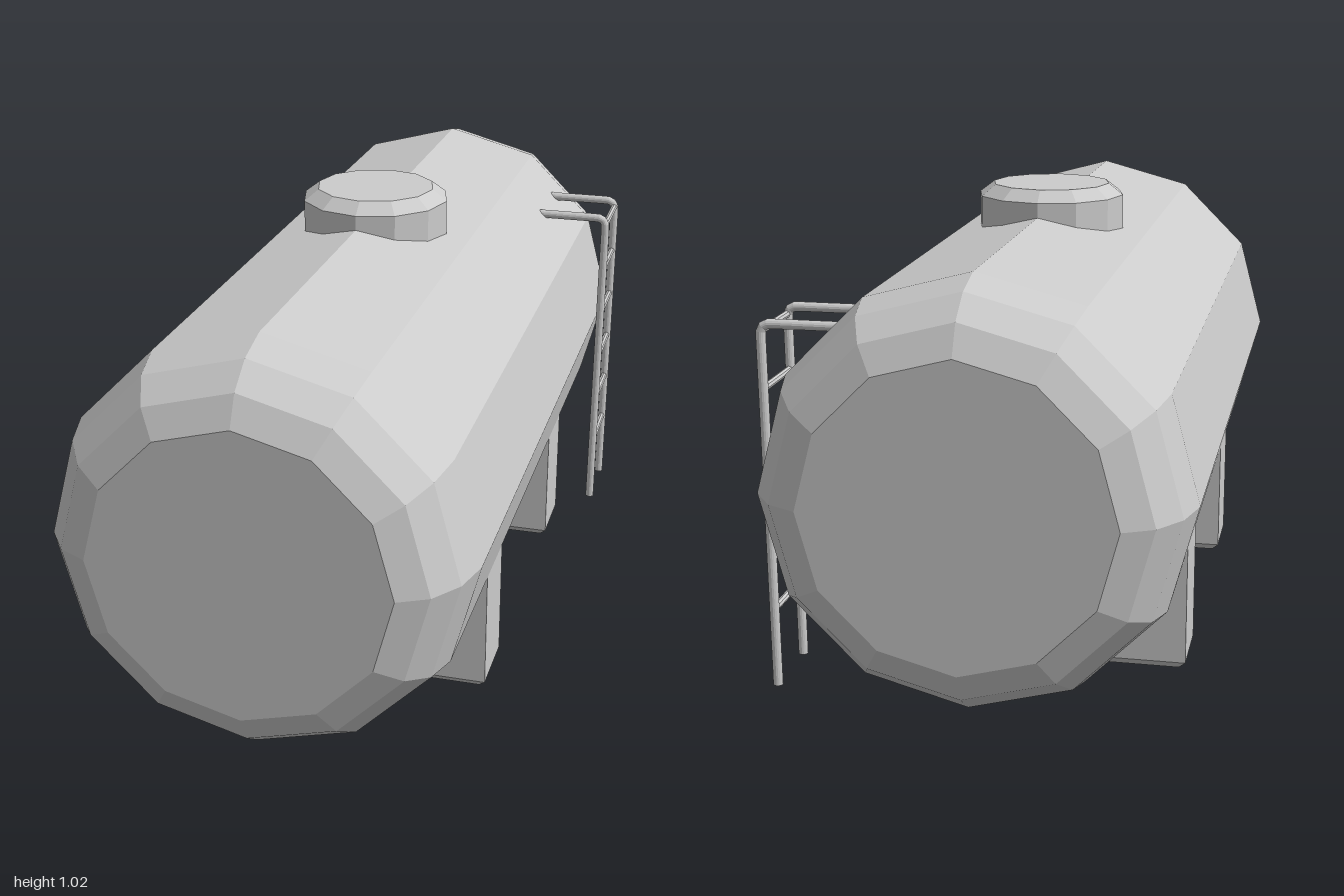
import * as THREE from 'three';

const CX = -0.018; // centre line of the tank

export function createModel() {
  const model = new THREE.Group();
  model.name = 'storageTank';
  const grey = new THREE.MeshStandardMaterial({ color: 0xcccccc, flatShading: true });
  const barGrey = new THREE.MeshStandardMaterial({ color: 0xcccccc, flatShading: true, side: THREE.DoubleSide });

  const add = (name, geometry, parent = model, material = grey) => {
    const mesh = new THREE.Mesh(geometry, material);
    mesh.name = name;
    parent.add(mesh);
    return mesh;
  };
  const lathe = (points) =>
    new THREE.LatheGeometry(points.map(([r, y]) => new THREE.Vector2(r, y)), 12);

  // Twelve-sided tank lying along z, with rounded shoulders and flat ends
  const end = [[0.447, 0.82], [0.425, 0.905], [0.38, 0.968], [0.317, 1], [0, 1]];
  const mirrored = end.map(([r, z]) => [r, -z]).reverse();
  const tank = add('tankBody', lathe([...mirrored, ...end]).rotateX(Math.PI / 2));
  tank.position.set(CX, 0.51, 0);

  // Hatch sunk into the top of the tank
  const hatch = add('hatch', lathe([[0, 0.86], [0.171, 0.86], [0.171, 0.99], [0.137, 1.016], [0, 1.016]]));
  hatch.position.set(CX, 0, -0.018);

  // Two support blocks with a chamfered foot
  const support = new THREE.BoxGeometry(0.775, 0.29, 0.16, 1, 2, 1).translate(0, 0.145, 0);
  const p = support.attributes.position;
  for (let i = 0; i < p.count; i++) {
    if (p.getY(i) < 0.01) {
      p.setX(i, p.getX(i) - Math.sign(p.getX(i)) * 0.016);
      p.setZ(i, p.getZ(i) - Math.sign(p.getZ(i)) * 0.016);
    } else if (p.getY(i) < 0.2) {
      p.setY(i, 0.018);
    }
  }
  support.computeVertexNormals();
  for (const [name, z] of [['frontSupport', 0.385], ['backSupport', -0.382]]) {
    add(name, support, model).position.set(CX, 0, z);
  }

  // Ladder: two bent rails joined by rungs
  const ladder = new THREE.Group();
  ladder.name = 'ladder';
  model.add(ladder);
  const v = (x, y, z = 0) => new THREE.Vector3(x, y, z);
  const path = new THREE.CurvePath();
  path.add(new THREE.LineCurve3(v(0.448, 0.013), v(0.453, 0.79)));
  path.add(new THREE.QuadraticBezierCurve3(v(0.453, 0.79), v(0.453, 0.813), v(0.43, 0.813)));
  path.add(new THREE.LineCurve3(v(0.43, 0.813), v(0.28, 0.813)));
  const section = new THREE.Shape().absarc(0, 0, 0.0105, 0, Math.PI * 2);
  const rail = new THREE.ExtrudeGeometry(section, { steps: 80, curveSegments: 8, extrudePath: path });
  add('leftRail', rail, ladder, barGrey).position.z = -0.557;
  add('rightRail', rail, ladder, barGrey).position.z = -0.725;

  const rung = new THREE.CylinderGeometry(0.008, 0.008, 0.168, 8).rotateX(Math.PI / 2);
  for (let i = 0; i < 6; i++) {
    const y = 0.187 + i * 0.122;
    add('rung' + (i + 1), rung, ladder).position.set(0.448 + y * 0.006, y, -0.641);
  }
  return model;
}
